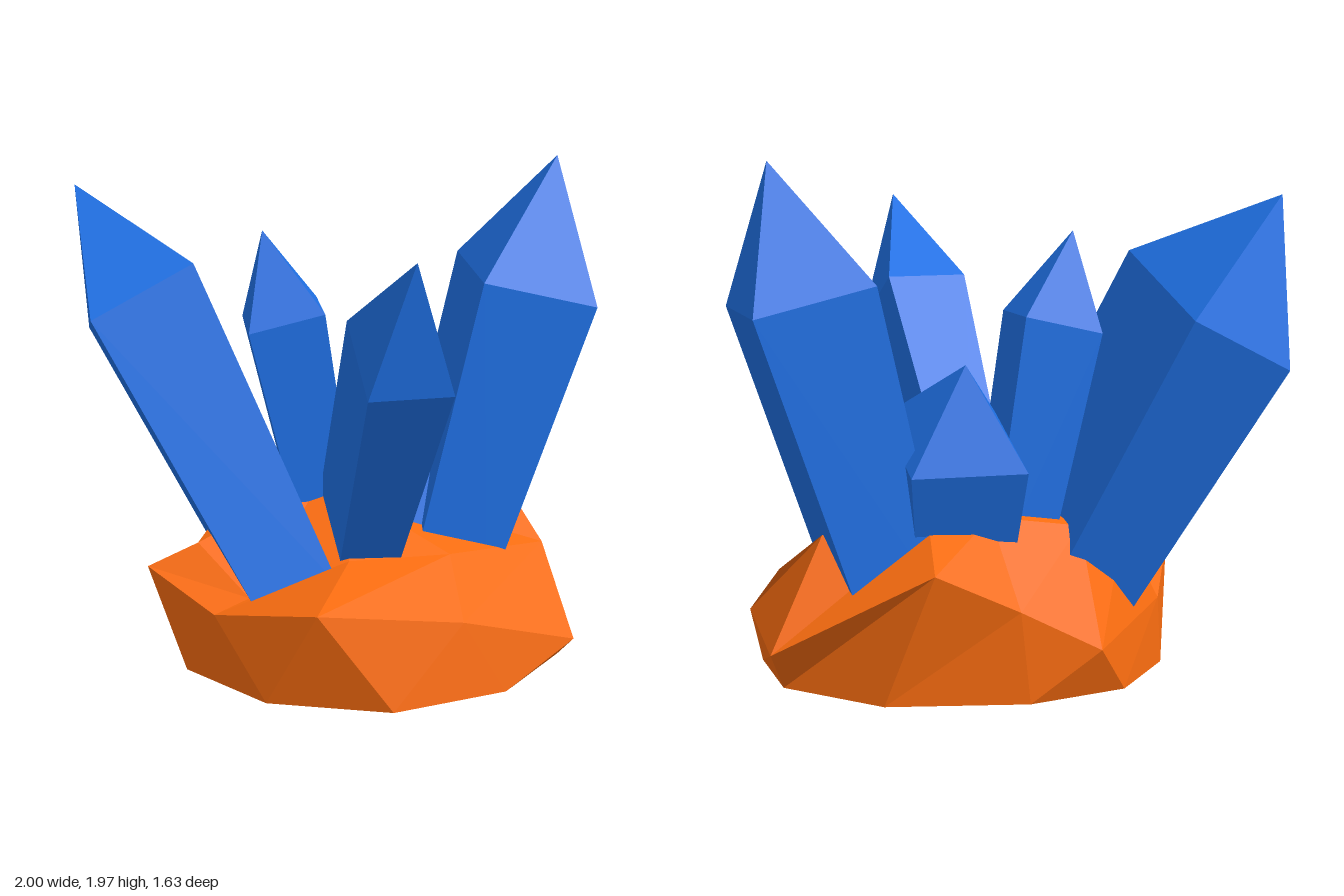
import * as THREE from 'three';
import { ConvexGeometry } from 'three/addons/geometries/ConvexGeometry.js';

const crystalMat = new THREE.MeshStandardMaterial({ color: 0x1f70e4, flatShading: true });
const rockMat = new THREE.MeshStandardMaterial({ color: 0xf96c10, flatShading: true });

// Four-sided crystal: shoulder corner p with edges u and v, a tip, and a foot
// reached by "down" whose u edge is narrowed by "taper".
function crystal(name, { tip, p, u, v, down, taper }) {
  const [P, U, V, D] = [p, u, v, down].map((a) => new THREE.Vector3(...a));
  const points = [new THREE.Vector3(...tip)];
  for (const i of [0, 1]) {
    for (const j of [0, 1]) {
      const depth = V.clone().multiplyScalar(j);
      points.push(P.clone().addScaledVector(U, i).add(depth));
      points.push(P.clone().add(D).addScaledVector(U, i * taper).add(depth));
    }
  }
  const mesh = new THREE.Mesh(new ConvexGeometry(points), crystalMat);
  mesh.name = name;
  return mesh;
}

// Faceted rock: ten-sided rings joined from the flat underside to the summit.
function rock() {
  const foot = [
    [0.86, 0.13], [0.58, 0.47], [0.12, 0.61], [-0.35, 0.46], [-0.63, 0.10],
    [-0.63, -0.32], [-0.36, -0.66], [0.04, -0.77], [0.56, -0.66], [0.86, -0.30],
  ].map(([x, z]) => [x, 0.015, z]);
  const rim = [
    [0.87, 0.17, 0.35], [0.41, 0.31, 0.47], [-0.17, 0.42, 0.61], [-0.53, 0.31, 0.27], [-0.77, 0.42, 0],
    [-0.62, 0.27, -0.31], [-0.23, 0.20, -0.78], [0.08, 0.36, -0.78], [0.40, 0.51, -0.78], [0.95, 0.20, -0.53],
  ];
  const crown = [
    [0.83, 0.42, -0.08], [0.41, 0.47, 0.15], [0, 0.49, 0.23], [-0.39, 0.36, 0.24], [-0.57, 0.51, 0],
    [-0.45, 0.52, -0.35], [-0.25, 0.60, -0.45], [0.10, 0.65, -0.45], [0.35, 0.64, -0.50], [0.72, 0.60, -0.36],
  ];
  const summit = [-0.05, 0.69, -0.2];
  const base = [0.1, 0.015, -0.08];
  const pos = [];
  const tri = (...corners) => corners.forEach((c) => pos.push(...c));
  for (let i = 0; i < foot.length; i++) {
    const j = (i + 1) % foot.length;
    for (const [a, b] of [[foot, rim], [rim, crown]]) {
      tri(a[i], b[i], a[j]);
      tri(b[i], b[j], a[j]);
    }
    tri(base, foot[i], foot[j]);
    tri(crown[i], summit, crown[j]);
  }
  const geo = new THREE.BufferGeometry();
  geo.setAttribute('position', new THREE.Float32BufferAttribute(pos, 3));
  geo.computeVertexNormals();
  const mesh = new THREE.Mesh(geo, rockMat);
  mesh.name = 'rockBase';
  return mesh;
}

export function createModel() {
  const group = new THREE.Group();
  group.name = 'crystalCluster';
  group.add(
    rock(),
    // broad crystal leaning out to -x
    crystal('broadLeaningCrystal', {
      tip: [-1, 1.84, -0.57], p: [-0.96, 1.41, -0.05], u: [0.40, 0.20, -0.06],
      v: [0, -0.21, -0.71], down: [0.63, -1.155, 0.35], taper: 0.72,
    }),
    // tallest crystal leaning out to +x
    crystal('tallCrystal', {
      tip: [0.89, 1.97, -0.26], p: [0.55, 1.53, 0.03], u: [0.45, -0.11, 0],
      v: [0, 0, -0.58], down: [-0.28, -1.23, 0], taper: 0.70,
    }),
    // slim crystal leaning forward
    crystal('frontCrystal', {
      tip: [0.16, 1.80, 0.81], p: [0, 1.28, 0.73], u: [0.32, 0, -0.03],
      v: [-0.03, 0.21, -0.35], down: [-0.05, -1.2, -0.78], taper: 0.64,
    }),
    // small upright crystal in the middle
    crystal('smallCrystal', {
      tip: [-0.28, 1.70, -0.26], p: [-0.35, 1.32, -0.11], u: [0.30, 0.07, 0],
      v: [0, 0, -0.30], down: [0.238, -1.0, 0], taper: 0.70,
    }),
    // short crystal leaning back
    crystal('backCrystal', {
      tip: [0.22, 1.235, -0.54], p: [0.01, 1.01, -0.20], u: [0.44, 0, 0],
      v: [0, -0.17, -0.44], down: [0.03, -0.84, 0.33], taper: 0.64,
    }),
  );
  return group;
}
